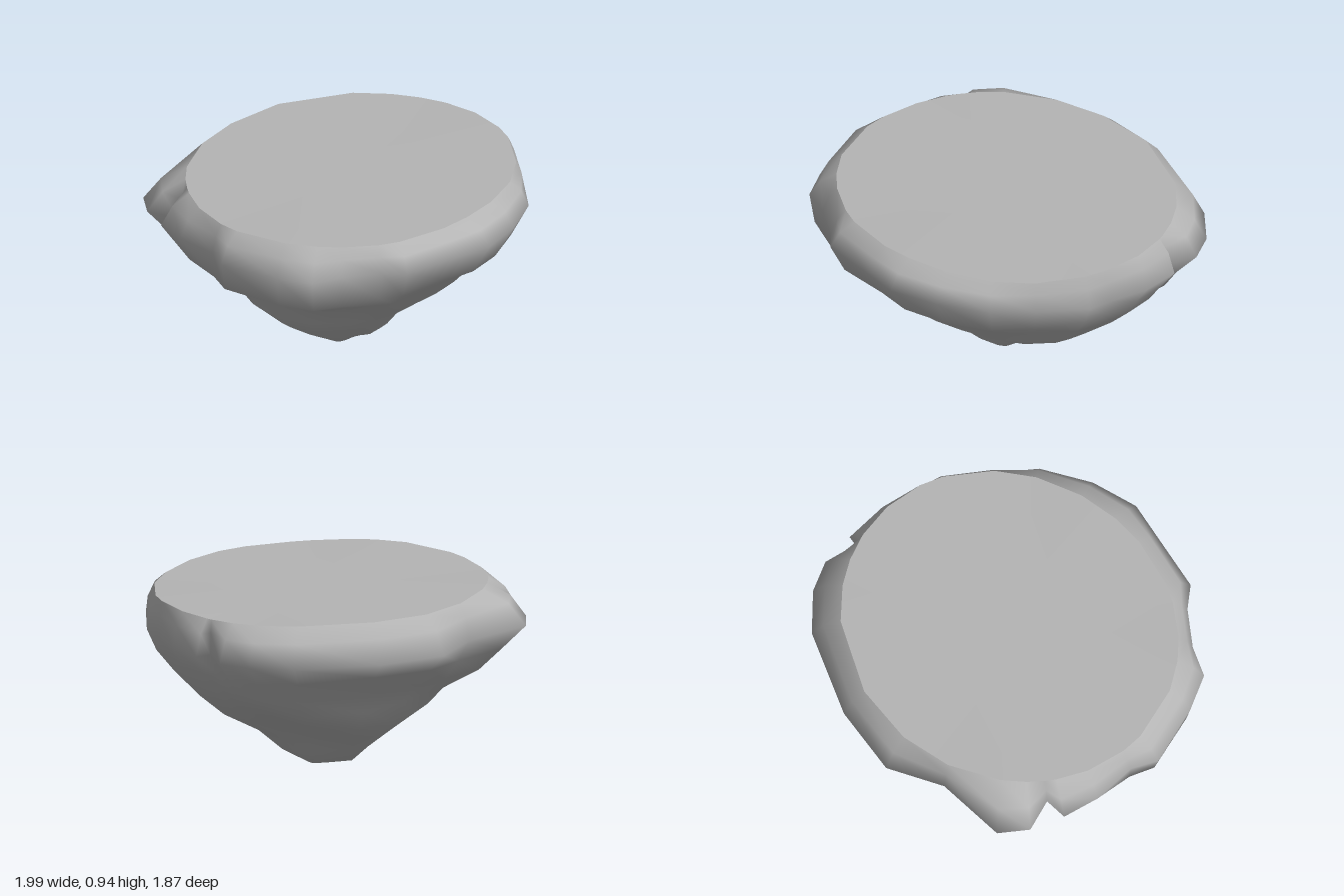
import * as THREE from 'three';

// Rim outline seen from above (x, z), in order of angle
const rim = [
  [0.98, -0.10], [0.95, 0.10], [0.86, 0.30], [0.82, 0.42], [0.63, 0.62], [0.46, 0.78], [0.20, 0.89],
  [-0.05, 0.93], [-0.24, 0.87], [-0.53, 0.78], [-0.60, 0.67], [-0.75, 0.53], [-0.89, 0.45], [-0.95, 0.27],
  [-1.00, -0.05], [-0.92, -0.17], [-0.89, -0.40], [-0.82, -0.58], [-0.70, -0.57], [-0.73, -0.74], [-0.61, -0.86],
  [-0.24, -0.83], [0.05, -0.94], [0.40, -0.85], [0.80, -0.62], [0.94, -0.44], [0.99, -0.28], [0.90, -0.12],
];

// Levels below the rim: height, then radius toward +x, +z, -x, -z
const levels = [
  [0.64, 0.88, 0.83, 0.94, 0.84],
  [0.53, 0.82, 0.67, 0.74, 0.75],
  [0.42, 0.71, 0.58, 0.59, 0.61],
  [0.32, 0.57, 0.43, 0.55, 0.55],
  [0.22, 0.37, 0.30, 0.44, 0.39],
  [0.12, 0.27, 0.22, 0.29, 0.25],
  [0.04, 0.14, 0.13, 0.15, 0.16],
];

// Blend four values given for +x, +z, -x, -z around the circle
function around(angle, px, pz, nx, nz) {
  const c = Math.cos(angle), s = Math.sin(angle);
  return c * c * (c > 0 ? px : nx) + s * s * (s > 0 ? pz : nz);
}

function makeGeometry(points, indices) {
  const geometry = new THREE.BufferGeometry();
  geometry.setAttribute('position', new THREE.Float32BufferAttribute(points.flat(), 3));
  geometry.setIndex(indices);
  geometry.computeVertexNormals();
  return geometry;
}

export function createModel() {
  const stone = new THREE.MeshStandardMaterial({ color: 0xb4b4b4 });
  stone.name = 'grey stone';
  const n = rim.length;
  const angles = rim.map(([x, z]) => Math.atan2(z, x));

  // Edge of the flat top, a rounded shoulder and the widest ring
  const topRing = angles.map((a) => {
    const r = around(a, 0.90, 0.78, 0.88, 0.81);
    return [r * Math.cos(a), 0.935 + 0.004 * Math.sin(a * 5), r * Math.sin(a)];
  });
  const wideRing = rim.map(([x, z], i) => [x, around(angles[i], 0.75, 0.82, 0.79, 0.74), z]);
  const shoulder = topRing.map((p, i) => [
    THREE.MathUtils.lerp(p[0], wideRing[i][0], 0.6),
    THREE.MathUtils.lerp(p[1], wideRing[i][1], 0.38),
    THREE.MathUtils.lerp(p[2], wideRing[i][2], 0.6),
  ]);

  // Craggy rings narrowing to the tip, following the rim less and less
  const lower = levels.map(([y, ...radii], k) => angles.map((a, i) => {
    const follow = Math.max(0, 0.7 - 0.2 * k);
    const bulge = Math.pow(Math.hypot(...rim[i]) / 0.95, follow);
    const crag = 1 + 0.035 * Math.sin(3 * a + k * 1.7) * Math.sin(2 * a) ** 2;
    const r = around(a, ...radii) * bulge * crag;
    return [r * Math.cos(a), y + 0.012 * Math.sin(4 * a + k), r * Math.sin(a) - 0.005 * k];
  }));

  // Side skin from the rings, closed by the tip
  const rings = [topRing, shoulder, wideRing, ...lower];
  const points = rings.flat();
  const indices = [];
  for (let r = 0; r < rings.length - 1; r++) {
    for (let i = 0; i < n; i++) {
      const j = (i + 1) % n;
      const a = r * n + i, b = r * n + j;
      indices.push(a, b, a + n, b, b + n, a + n);
    }
  }
  const tip = points.length, last = (rings.length - 1) * n;
  points.push([0, 0, -0.05]);
  for (let i = 0; i < n; i++) indices.push(last + i, last + (i + 1) % n, tip);
  const body = new THREE.Mesh(makeGeometry(points, indices), stone);
  body.name = 'rockUnderside';

  // Flat top, separate so its edge stays sharp
  const capIndices = [];
  for (let i = 0; i < n; i++) capIndices.push(n, (i + 1) % n, i);
  const cap = new THREE.Mesh(makeGeometry([...topRing, [0, 0.935, 0]], capIndices), stone);
  cap.name = 'flatTop';

  const group = new THREE.Group();
  group.name = 'floatingRock';
  group.add(body, cap);
  return group;
}
